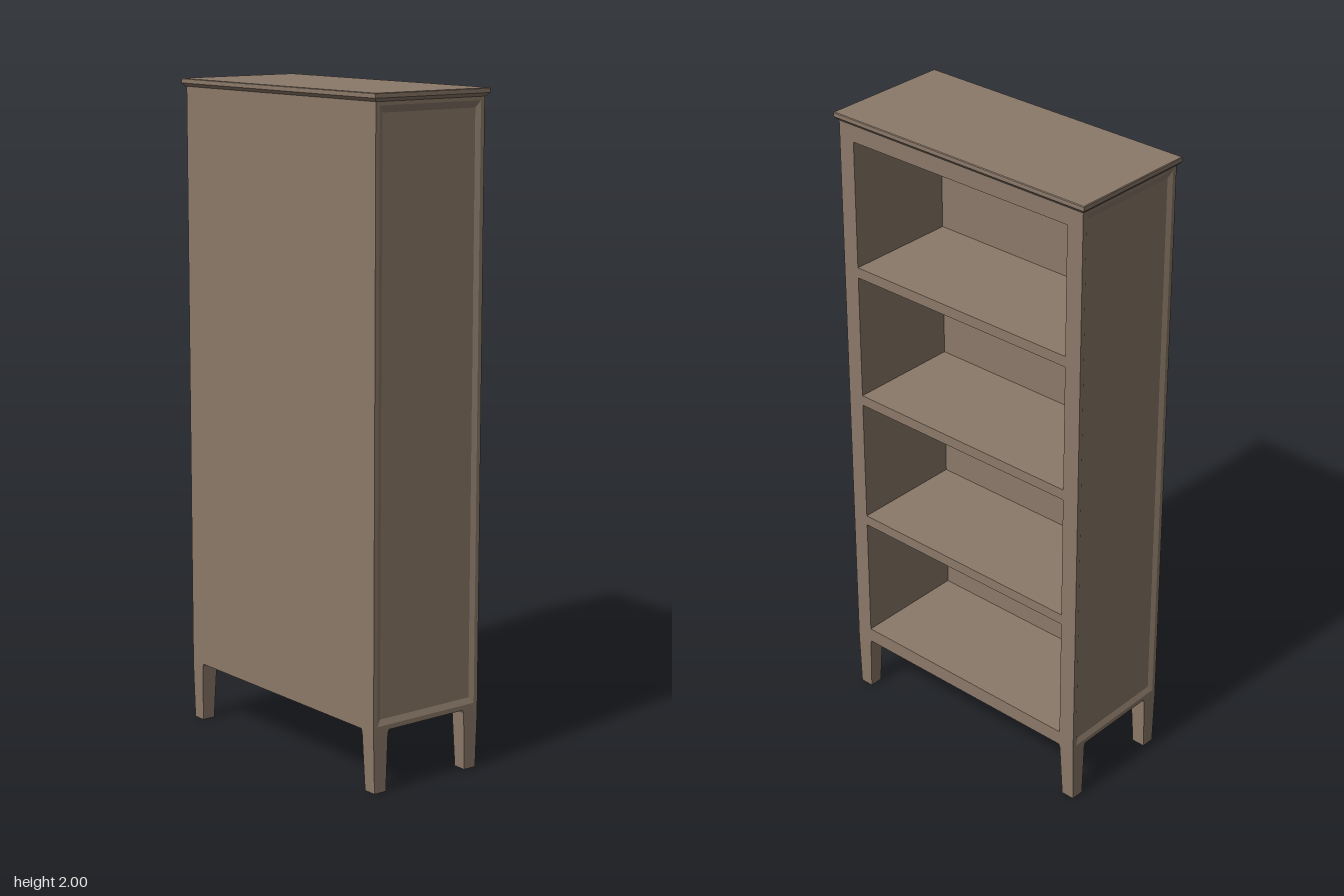
import * as THREE from 'three';

const wood = new THREE.MeshStandardMaterial({ color: 0x8b7969, flatShading: true });

// Rectangular cross-sections [x0, x1, y0, y1, z] joined along z and capped at both ends
function loft(rings) {
  const loops = rings.map(([x0, x1, y0, y1, z]) => [[x0, y0, z], [x1, y0, z], [x1, y1, z], [x0, y1, z]]);
  const pos = [];
  const quad = (a, b, c, d) => pos.push(...a, ...b, ...c, ...a, ...c, ...d);
  for (let k = 0; k < loops.length - 1; k++) {
    for (let i = 0; i < 4; i++) {
      const j = (i + 1) % 4;
      quad(loops[k][i], loops[k][j], loops[k + 1][j], loops[k + 1][i]);
    }
  }
  const first = loops[0], last = loops[loops.length - 1];
  quad(first[3], first[2], first[1], first[0]);
  quad(...last);
  const g = new THREE.BufferGeometry();
  g.setAttribute('position', new THREE.Float32BufferAttribute(pos, 3));
  g.computeVertexNormals();
  return g;
}

// The same, standing upright: sections are [x0, x1, z0, z1, y]
const loftUp = rings => loft(rings.map(([x0, x1, z0, z1, y]) => [x0, x1, -z1, -z0, y])).rotateX(-Math.PI / 2);

function rectPath(path, x0, x1, y0, y1) {
  path.moveTo(x0, y0);
  path.lineTo(x1, y0);
  path.lineTo(x1, y1);
  path.lineTo(x0, y1);
  path.closePath();
  return path;
}

export function createModel() {
  const group = new THREE.Group();
  const add = (name, geometry) => {
    const mesh = new THREE.Mesh(geometry, wood);
    mesh.name = name;
    group.add(mesh);
    return mesh;
  };

  const X = 0.197, Z = 0.45, bottom = 0.185, top = 1.978;
  const core = 0.44, backInner = -0.165;

  // Carcass with four open bays, facing +x
  const front = rectPath(new THREE.Shape(), -core, core, bottom, top);
  for (let i = 0; i < 4; i++) {
    const y = 0.232 + i * 0.431;
    front.holes.push(rectPath(new THREE.Path(), -0.396, 0.396, y, y + 0.398));
  }
  const carcass = new THREE.ExtrudeGeometry(front, { depth: X - backInner, bevelEnabled: false });
  add('shelfCarcass', carcass.rotateY(Math.PI / 2).translate(backInner, 0, 0));

  // Back panel
  const back = new THREE.BoxGeometry(X + backInner, top - bottom, core * 2);
  add('backPanel', back.translate((backInner - X) / 2, (top + bottom) / 2, 0));

  // Side panels with a shallow bevelled recess
  for (const side of [1, -1]) {
    const panel = add(side > 0 ? 'frontSidePanel' : 'rearSidePanel', loft([
      [-X, X, bottom, top, core],
      [-X, X, bottom, top, Z],
      [-0.183, 0.183, 0.2, 1.965, Z],
      [-0.168, 0.168, 0.218, 1.945, Z - 0.007],
    ]));
    if (side < 0) panel.rotation.y = Math.PI;
  }

  // Tapered legs
  for (const sx of [1, -1]) {
    for (const sz of [1, -1]) {
      const section = (xa, xb, za, zb, y) => [
        Math.min(sx * xa, sx * xb), Math.max(sx * xa, sx * xb),
        Math.min(sz * za, sz * zb), Math.max(sz * za, sz * zb), y];
      add('leg', loftUp([
        section(0.15, 0.192, 0.406, 0.449, 0),
        section(0.144, X, 0.398, Z, 0.175),
        section(0.139, X, 0.394, Z, bottom),
      ]));
    }
  }

  // Overhanging top with a chamfered lower edge
  const slab = (inset, y) => [-0.208 + inset, 0.208 - inset, -0.461 + inset, 0.461 - inset, y];
  add('top', loftUp([slab(0.009, 1.976), slab(0, 1.986), slab(0, 1.998), slab(0.002, 2)]));

  return group;
}
